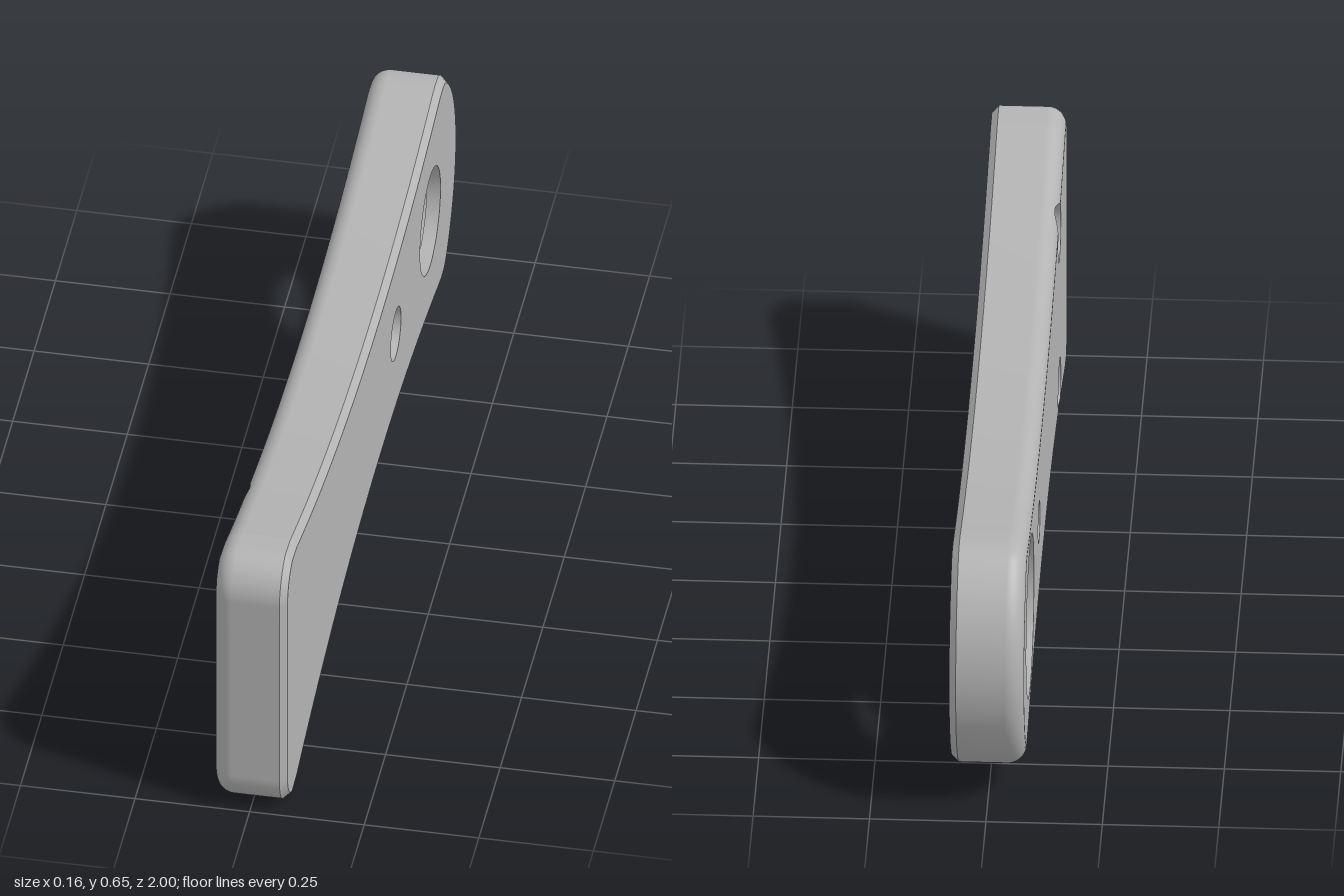
import * as THREE from 'three';

const V2 = (z, y) => new THREE.Vector2(z, y);
const MID = 0.33;              // height of the mirror line
const BACK = -0.08, FRONT = 0.08;
const ROUND = 0.04, CHAMFER = 0.015;

// Profiles are drawn as (z, y) points and placed at a given x
const at = (p, x) => new THREE.Vector3(x, p.y, p.x);

function circle(c, r, n = 72) {
  return Array.from({ length: n }, (_, i) => {
    const a = (i / n) * Math.PI * 2;
    return V2(c.x + r * Math.cos(a), c.y + r * Math.sin(a));
  });
}

// Closed smooth strip through loops ordered from -x to +x
function strip(rows, inward = false) {
  const n = rows[0].length, index = [];
  for (let j = 0; j < rows.length - 1; j++) {
    for (let i = 0; i < n; i++) {
      const k = (i + 1) % n;
      const a = j * n + i, b = j * n + k, c = a + n, d = b + n;
      if (inward) index.push(a, b, c, b, d, c);
      else index.push(a, c, b, b, c, d);
    }
  }
  const geo = new THREE.BufferGeometry().setFromPoints(rows.flat());
  geo.setIndex(index);
  geo.computeVertexNormals();
  return geo;
}

// Flat face with holes, at one x, facing -x or +x
function face(loop, holes, x, facesPlusX = false) {
  const shape = new THREE.Shape(loop);
  holes.forEach((h) => shape.holes.push(new THREE.Path(h)));
  const geo = new THREE.ShapeGeometry(shape);
  const pos = geo.attributes.position;
  for (let i = 0; i < pos.count; i++) pos.setXYZ(i, x, pos.getY(i), pos.getX(i));
  if (facesPlusX) geo.index.array.reverse();
  geo.computeVertexNormals();
  return geo;
}

// Waisted outline: straight wide end, concave edges, round narrow end
function outline() {
  const half = [V2(1, MID), V2(1, 0.45)];
  for (let i = 0; i <= 16; i++) {
    const a = (i / 16) * 1.32;
    half.push(V2(0.905 + 0.095 * Math.cos(a), 0.565 + 0.095 * Math.sin(a)));
  }
  for (let i = 0; i <= 300; i++) {
    const z = 0.87 - (1.65 * i) / 300;
    half.push(V2(z, 0.53 + 0.13 * (z + 0.1) ** 2));
  }
  const corner = new THREE.QuadraticBezierCurve(V2(-0.78, 0.59), V2(-0.8486, 0.602), V2(-0.875, 0.582));
  half.push(...corner.getPoints(12).slice(1));
  const start = Math.atan2(0.252, -0.192);
  for (let i = 1; i <= 24; i++) {
    const a = start + ((Math.PI - start) * i) / 24;
    half.push(V2(-0.683 + 0.317 * Math.cos(a), MID + 0.317 * Math.sin(a)));
  }
  const mirrored = half.slice(1, -1).reverse().map((p) => V2(p.x, 2 * MID - p.y));
  return [...half, ...mirrored];
}

export function createModel() {
  const group = new THREE.Group();
  const grey = new THREE.MeshStandardMaterial({ color: 0xb3b3b3 });
  grey.name = 'grey';
  const add = (name, geo) => {
    const mesh = new THREE.Mesh(geo, grey);
    mesh.name = name;
    group.add(mesh);
  };

  const edge = outline();
  const count = edge.length;
  const inward = edge.map((_, i) => {
    const t = edge[(i + 1) % count].clone().sub(edge[(i + count - 1) % count]).normalize();
    return V2(-t.y, t.x);
  });
  const inset = (i, d) => edge[i].clone().addScaledVector(inward[i], d);

  // Blind holes bite into the rounded edge: find where each column is cut
  const blind = [1, -1].map((s) => ({ c: V2(0.63, MID + s * 0.19), r: 0.064, cut: [] }));
  const columns = edge.map((p, i) => {
    const col = { depth: ROUND, hole: null };
    for (const hole of blind) {
      const to = hole.c.clone().sub(p);
      const along = to.dot(inward[i]);
      const disc = along * along - to.lengthSq() + hole.r ** 2;
      if (disc <= 0) continue;
      const t = along - Math.sqrt(disc);
      if (t > 0 && t < col.depth) {
        col.depth = t;
        col.hole = hole;
      }
    }
    if (col.hole) col.hole.cut.push(i);
    col.angle = Math.asin(1 - col.depth / ROUND);
    return col;
  });

  // Rounded edge and side wall
  const filletPoint = (i, f) => {
    const a = THREE.MathUtils.lerp(columns[i].angle, Math.PI / 2, f);
    return at(inset(i, ROUND * (1 - Math.sin(a))), BACK + ROUND * (1 - Math.cos(a)));
  };
  const rows = [];
  for (let j = 0; j <= 10; j++) rows.push(edge.map((_, i) => filletPoint(i, j / 10)));
  rows.push(edge.map((p) => at(p, FRONT - CHAMFER)));
  add('roundedSide', strip(rows));

  // Chamfered edge
  const chamferLoop = edge.map((_, i) => inset(i, CHAMFER));
  add('chamfer', strip([edge.map((p) => at(p, FRONT - CHAMFER)), chamferLoop.map((p) => at(p, FRONT))]));

  // Lower arcs of the blind holes, clockwise between the cut ends
  for (const hole of blind) {
    const ends = [hole.cut[0], hole.cut[hole.cut.length - 1]].map((i) => inset(i, columns[i].depth));
    const [a0, a1] = ends.map((p) => Math.atan2(p.y - hole.c.y, p.x - hole.c.x));
    const sweep = THREE.MathUtils.euclideanModulo(a0 - a1, Math.PI * 2);
    hole.arc = Array.from({ length: 39 }, (_, k) => {
      const a = a0 - (sweep * (k + 1)) / 40;
      return V2(hole.c.x + hole.r * Math.cos(a), hole.c.y + hole.r * Math.sin(a));
    });
  }

  // Large faces
  const small = V2(-0.283, MID + 0.003), large = V2(-0.685, MID + 0.003);
  const backLoop = [];
  columns.forEach((col, i) => {
    const cut = col.hole && col.hole.cut;
    if (!cut || i === cut[0] || i === cut[cut.length - 1]) backLoop.push(inset(i, col.depth));
    if (cut && i === cut[0]) backLoop.push(...col.hole.arc);
  });
  add('rightFace', face(backLoop, [circle(small, 0.046), circle(large, 0.178)], BACK));
  add('leftFace', face(chamferLoop, [circle(small, 0.06), circle(large, 0.12)], FRONT, true));

  // Walls and floors of the blind holes
  const floorX = 0.04;
  for (const hole of blind) {
    const rim = [
      ...hole.cut.map((i) => filletPoint(i, 0)),
      ...hole.arc.slice().reverse().map((p) => at(p, BACK)),
    ];
    const floor = rim.map((p) => V2(p.z, p.y));
    add('blindHoleWall', strip([rim, floor.map((p) => at(p, floorX))], true));
    add('blindHoleFloor', face(floor, [], floorX));
  }

  // Through holes: a tapered one and a stepped one
  const bore = (name, c, r0, x0, r1, x1) =>
    add(name, strip([circle(c, r0).map((p) => at(p, x0)), circle(c, r1).map((p) => at(p, x1))], true));
  const ledgeX = 0.05;
  bore('taperedHole', small, 0.046, BACK, 0.06, FRONT);
  bore('largeHoleWide', large, 0.178, BACK, 0.178, ledgeX);
  bore('largeHoleNarrow', large, 0.12, ledgeX, 0.12, FRONT);
  add('largeHoleLedge', face(circle(large, 0.178), [circle(large, 0.12)], ledgeX));

  return group;
}
